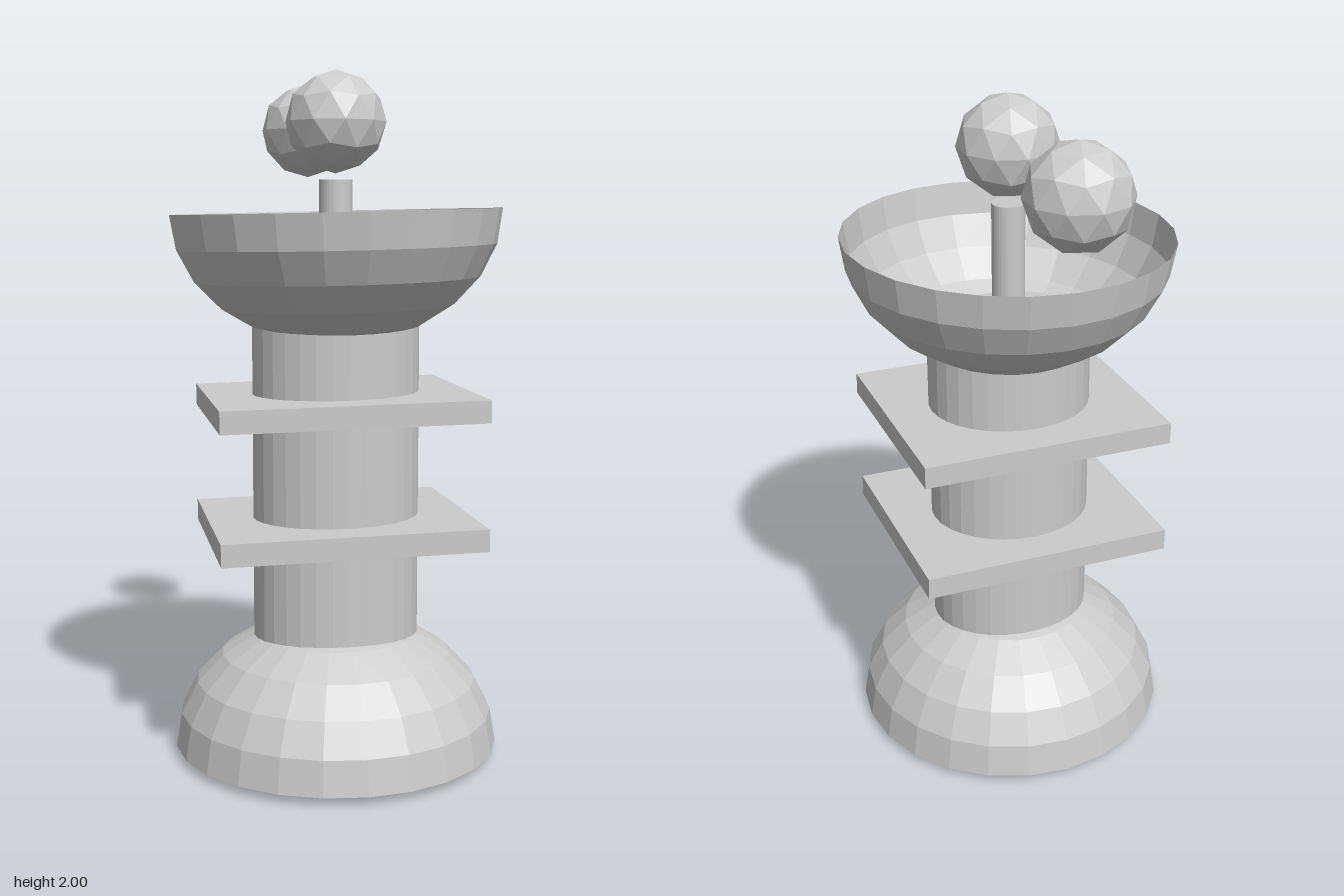
import * as THREE from 'three';

const AXIS_Z = 0.068; // the column stands slightly forward of the middle
const TILT = 0.016;   // slight sideways lean of the plates

const solid = new THREE.MeshStandardMaterial({ color: 0xcccccc, flatShading: true });
const open = new THREE.MeshStandardMaterial({ color: 0xcccccc, flatShading: true, side: THREE.DoubleSide });

export function createModel() {
  const model = new THREE.Group();
  model.name = 'tower';

  function add(name, geometry, y, z = AXIS_Z, material = solid) {
    const mesh = new THREE.Mesh(geometry, material);
    mesh.name = name;
    mesh.position.set(0, y, z);
    model.add(mesh);
    return mesh;
  }

  // Oval column, its top ending inside the bowl
  const columnTop = 1.33;
  add('column', new THREE.CylinderGeometry(0.245, 0.245, columnTop, 32), columnTop / 2)
    .scale.z = 0.215 / 0.245;

  // Flattened half spheres, open at the rim
  const dome = new THREE.SphereGeometry(0.48, 24, 6, 0, Math.PI * 2, 0, Math.PI / 2);
  dome.scale(1, 0.8, 1);
  add('baseDome', dome, 0.025, AXIS_Z, open);
  const bowl = add('bowl', dome.clone().rotateX(Math.PI), 1.6, AXIS_Z, open);
  bowl.rotation.z = 0.022;

  // Two square plates around the column
  [['lowerPlate', 0.679], ['upperPlate', 1.044]].forEach(([name, y]) => {
    add(name, new THREE.BoxGeometry(0.757, 0.065, 0.645), y).rotation.z = TILT;
  });

  // Thin post rising from the column
  const postBottom = 1.25, postTop = 1.69;
  add('post', new THREE.CylinderGeometry(0.048, 0.048, postTop - postBottom, 32), (postBottom + postTop) / 2);

  // Faceted balls with a vertex at the pole: one over the post, one behind
  const ball = new THREE.IcosahedronGeometry(0.146, 1);
  ball.rotateX(-Math.atan((1 + Math.sqrt(5)) / 2)).rotateY(Math.PI / 2);
  add('postBall', ball, 1.854);
  add('rearBall', ball, 1.854, -0.402);

  return model;
}
